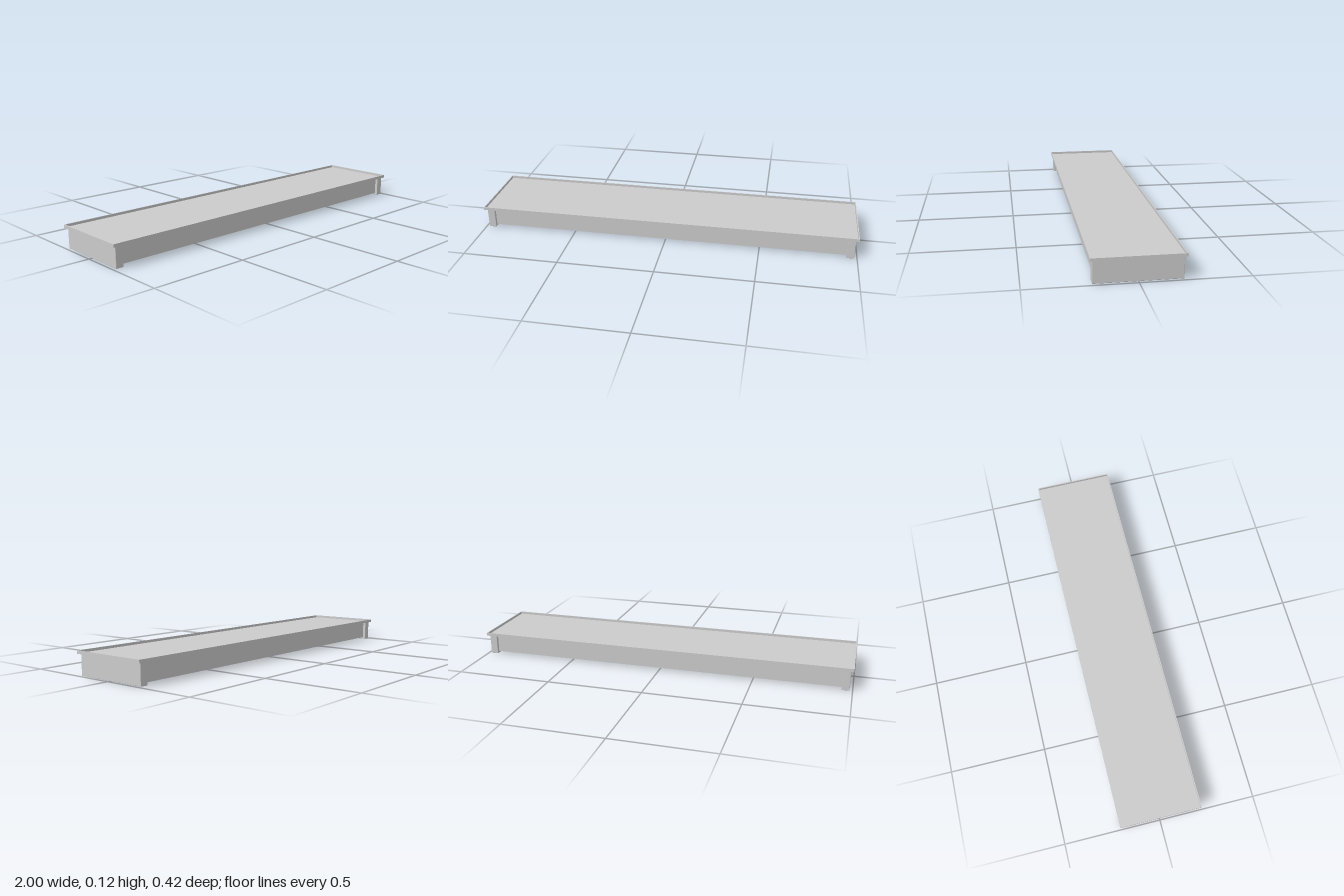
import * as THREE from 'three';
import { RoundedBoxGeometry } from 'three/addons/geometries/RoundedBoxGeometry.js';

const material = new THREE.MeshStandardMaterial({ color: 0xcccccc, flatShading: true });

function addPart(group, name, geometry, x, y, z) {
  const mesh = new THREE.Mesh(geometry, material);
  mesh.name = name;
  mesh.position.set(x, y, z);
  group.add(mesh);
}

export function createModel() {
  const group = new THREE.Group();
  group.name = 'lowPlatform';

  // Long box between the end panels, set back from their edges
  addPart(group, 'body', new THREE.BoxGeometry(1.9, 0.095, 0.37), 0, 0.0575, 0);

  // End panels standing on the ground, with a fine edge bevel
  for (const side of [-1, 1]) {
    const panel = new RoundedBoxGeometry(0.04, 0.105, 0.4, 1, 0.002);
    addPart(group, side > 0 ? 'leftEndPanel' : 'rightEndPanel', panel, side * 0.965, 0.0525, 0);
  }

  // Overhanging top: a thin floor inside a slim raised rim
  const width = 2, depth = 0.42, rim = 0.005, bottom = 0.105, top = 0.121, floor = 0.003;
  addPart(group, 'topFloor', new THREE.BoxGeometry(width - 2 * rim, floor, depth - 2 * rim), 0, bottom + floor / 2, 0);
  const rimHeight = top - bottom, rimY = (top + bottom) / 2;
  for (const side of [-1, 1]) {
    addPart(group, side > 0 ? 'frontRim' : 'backRim',
      new THREE.BoxGeometry(width, rimHeight, rim), 0, rimY, side * (depth - rim) / 2);
    addPart(group, side > 0 ? 'leftRim' : 'rightRim',
      new THREE.BoxGeometry(rim, rimHeight, depth - 2 * rim), side * (width - rim) / 2, rimY, 0);
  }
  return group;
}
